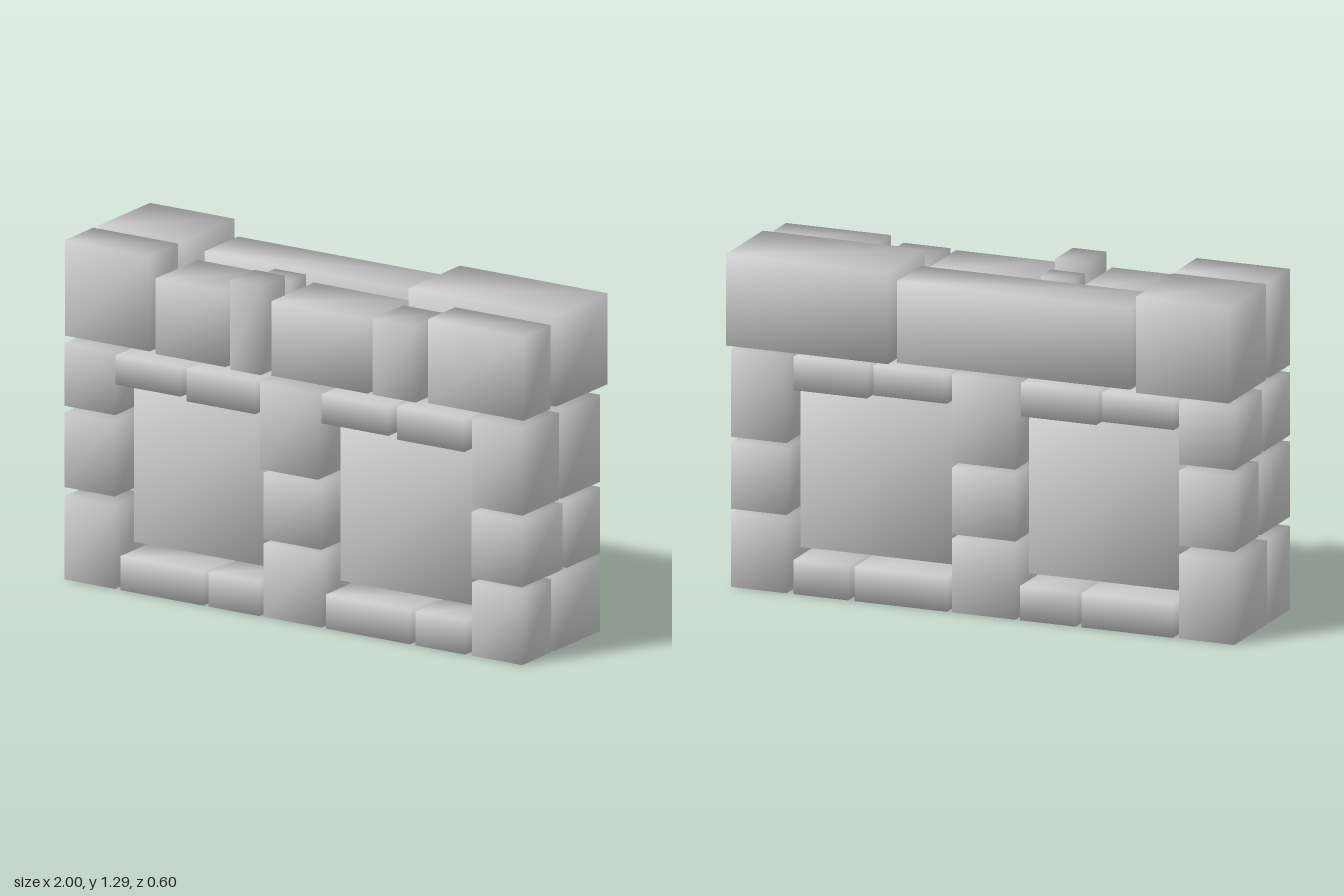
import * as THREE from 'three';
import { mergeVertices } from 'three/addons/utils/BufferGeometryUtils.js';

const material = new THREE.MeshStandardMaterial({ color: 0xcccccc });

// Block spanning two opposite corners, with normals shared across its edges for a soft stone look
function block(parent, name, [x0, x1], [y0, y1], [z0, z1]) {
  const box = new THREE.BoxGeometry(x1 - x0, y1 - y0, z1 - z0);
  box.deleteAttribute('normal');
  box.deleteAttribute('uv');
  const geometry = mergeVertices(box);
  geometry.computeVertexNormals();
  const mesh = new THREE.Mesh(geometry, material);
  mesh.name = name;
  mesh.position.set((x0 + x1) / 2, (y0 + y1) / 2, (z0 + z1) / 2);
  parent.add(mesh);
}

// Front and back stones with a narrow joint between them
function stonePair(parent, name, x, y, [back, backEnd, frontStart, front]) {
  block(parent, name + 'Front', x, y, [frontStart, front]);
  block(parent, name + 'Back', x, y, [back, backEnd]);
}

export function createModel() {
  const wall = new THREE.Group();
  wall.name = 'stoneWall';
  const section = (name) => {
    const g = new THREE.Group();
    g.name = name;
    wall.add(g);
    return g;
  };

  // Three pillars, each a stack of three split courses
  const outerDepths = [[-0.25, 0.057, 0.077, 0.27], [-0.25, -0.026, 0, 0.272], [-0.25, 0.01, 0.026, 0.27]];
  const middleDepths = [[-0.25, 0.057, 0.077, 0.27], [-0.25, -0.026, 0, 0.272], [-0.25, 0.01, 0.026, 0.295]];
  const tallCourses = [[0, 0.318], [0.353, 0.638], [0.663, 0.902]];
  const lowCourses = [[0, 0.28], [0.297, 0.55], [0.57, 0.902]];
  const pillars = [
    ['rightPillar', [-1, -0.78], tallCourses, outerDepths],
    ['middlePillar', [-0.13, 0.123], lowCourses, middleDepths],
    ['leftPillar', [0.78, 1], lowCourses, outerDepths],
  ];
  for (const [name, x, courses, depths] of pillars) {
    const pillar = section(name);
    courses.forEach((y, i) => stonePair(pillar, 'pillarStone', x, y, depths[i]));
  }

  // Recessed panels between the pillars
  const panels = section('panels');
  for (const x of [[-0.765, -0.148], [0.138, 0.76]])
    block(panels, 'panel', x, [0.157, 0.758], [-0.167, 0.167]);

  // Sill stones below the panels
  const sill = section('sill');
  for (const x of [[-0.755, -0.392], [-0.37, -0.148], [0.143, 0.51], [0.535, 0.752]])
    stonePair(sill, 'sillStone', x, [0, 0.13], [-0.25, 0.057, 0.077, 0.272]);

  // Lintel stones above the panels
  const lintel = section('lintel');
  const lintels = [
    [[-0.76, -0.475], 0.79, 0.297], [[-0.452, -0.152], 0.775, 0.293],
    [[0.143, 0.435], 0.79, 0.3], [[0.46, 0.752], 0.775, 0.28],
  ];
  for (const [x, y0, front] of lintels)
    stonePair(lintel, 'lintelStone', x, [y0, 0.902], [-0.25, -0.02, 0.005, front]);

  // Back row of large capstones
  const backCap = section('backCapstones');
  block(backCap, 'capCornerRight', [-1, -0.63], [0.93, 1.295], [-0.3, 0.045]);
  block(backCap, 'capMiddle', [-0.595, 0.333], [0.93, 1.24], [-0.27, -0.045]);
  block(backCap, 'capCornerLeft', [0.355, 1], [0.93, 1.277], [-0.3, 0.045]);

  // Front row of smaller capstones
  const frontCap = section('frontCapstones');
  block(frontCap, 'capCornerRight', [-1, -0.63], [0.93, 1.295], [0.08, 0.268]);
  block(frontCap, 'capInnerRight', [-0.595, -0.288], [0.93, 1.218], [0, 0.283]);
  block(frontCap, 'capSlimFront', [-0.258, -0.123], [0.93, 1.27], [0.137, 0.3]);
  block(frontCap, 'capSlimBack', [-0.258, -0.123], [0.93, 1.24], [0, 0.097]);
  block(frontCap, 'capCentre', [-0.087, 0.333], [0.93, 1.215], [0, 0.283]);
  block(frontCap, 'capInnerLeft', [0.355, 0.542], [0.93, 1.22], [0.08, 0.283]);
  block(frontCap, 'capCornerLeft', [0.582, 1], [0.93, 1.25], [0.08, 0.262]);

  return wall;
}
